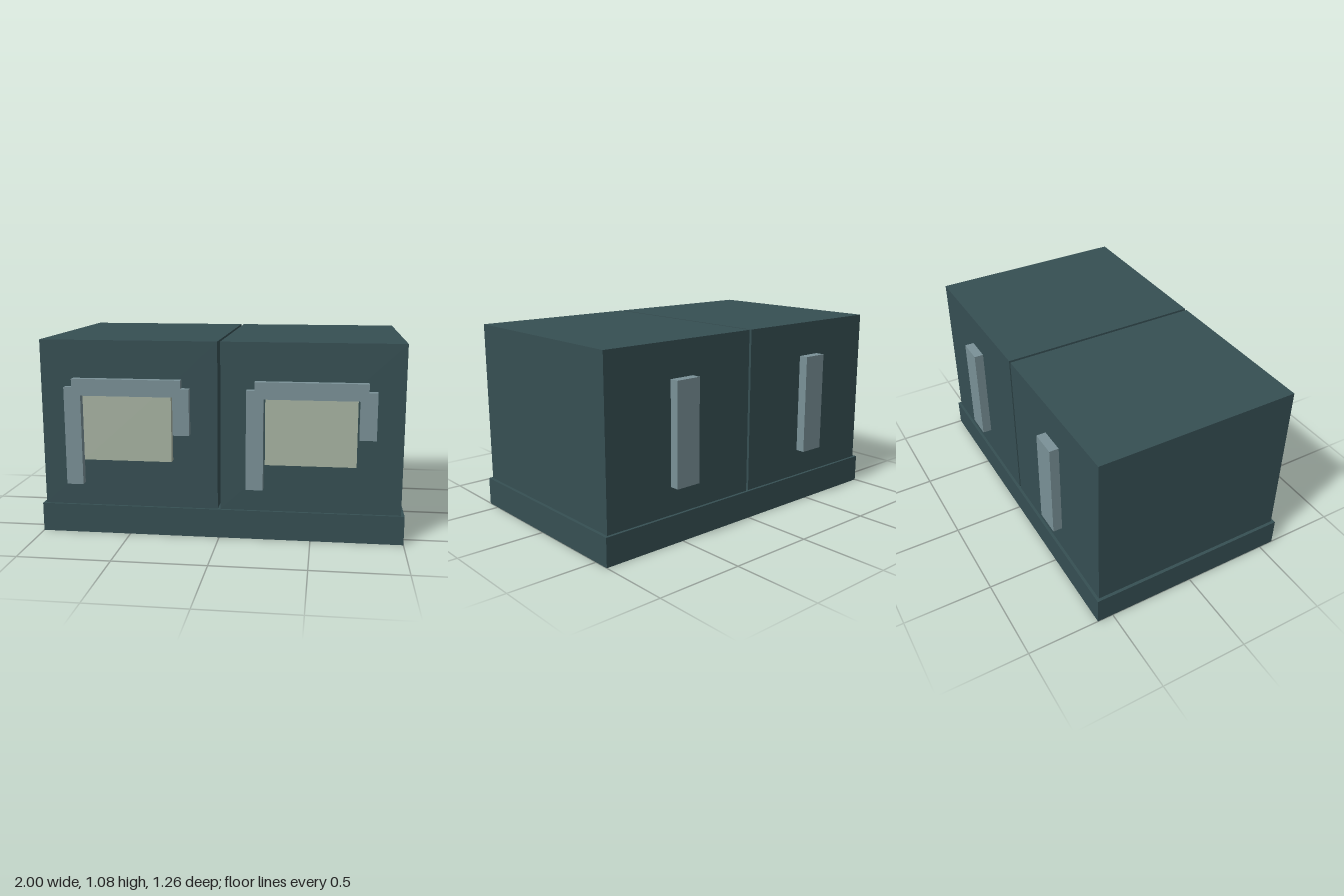
import * as THREE from 'three';

const casing = new THREE.MeshStandardMaterial({ color: 0x364f53 });
casing.name = 'dark teal casing';
const trim = new THREE.MeshStandardMaterial({ color: 0x7a9197 });
trim.name = 'grey blue trim';
const plate = new THREE.MeshStandardMaterial({ color: 0xa8b4a3 });
plate.name = 'pale sage plate';

// Box given by its extents on each axis
function block(name, material, [x0, x1], [y0, y1], [z0, z1]) {
  const mesh = new THREE.Mesh(new THREE.BoxGeometry(x1 - x0, y1 - y0, z1 - z0), material);
  mesh.position.set((x0 + x1) / 2, (y0 + y1) / 2, (z0 + z1) / 2);
  mesh.name = name;
  return mesh;
}

// One cabinet with its front frame and rear handle, centred on x = 0
function createCabinet(name) {
  const cabinet = new THREE.Group();
  cabinet.name = name;
  const frameDepth = [0.588, 0.63];
  cabinet.add(
    block('cabinetBody', casing, [-0.487, 0.487], [0.16, 1.08], [-0.575, 0.574]),
    block('frontPanel', plate, [-0.243, 0.242], [0.428, 0.863], [0.574, 0.617]),
    // Hooked frame: long post, top rail and short post
    block('frameLongPost', trim, [-0.344, -0.252], [0.29, 0.83], frameDepth),
    block('frameTopRail', trim, [-0.3, 0.295], [0.785, 0.876], [0.588, 0.6305]),
    block('frameShortPost', trim, [0.252, 0.341], [0.578, 0.83], frameDepth),
    // Rear handle
    block('rearHandle', trim, [-0.075, 0.075], [0.315, 0.886], [-0.628, -0.575]),
  );
  return cabinet;
}

export function createModel() {
  const model = new THREE.Group();
  model.name = 'twinCabinet';
  model.add(block('plinth', casing, [-1, 1], [0, 0.16], [-0.591, 0.589]));

  // Two identical cabinets with a narrow gap between them
  for (const [name, x] of [['rightCabinet', -0.495], ['leftCabinet', 0.495]]) {
    const cabinet = createCabinet(name);
    cabinet.position.x = x;
    model.add(cabinet);
  }
  return model;
}
